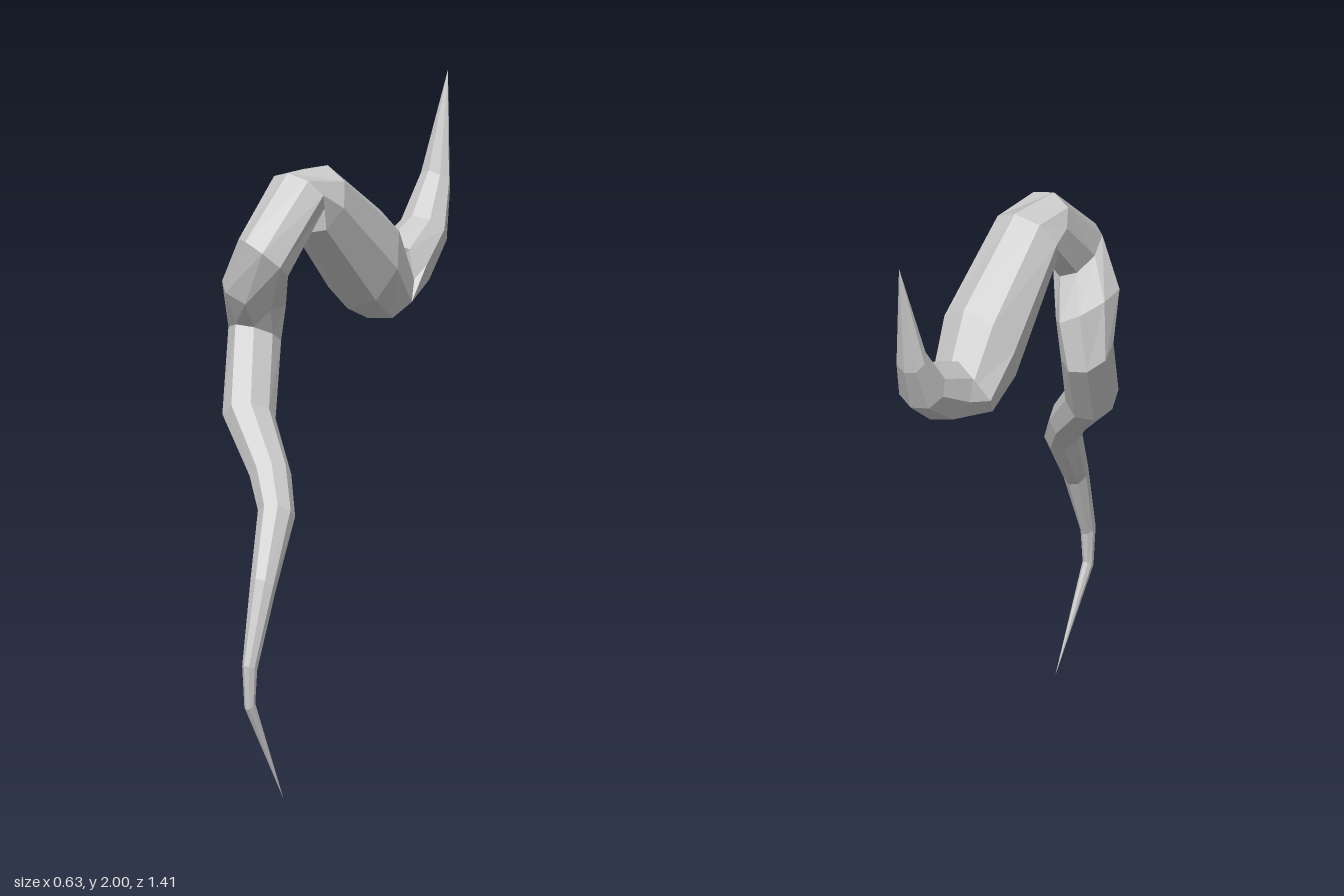
import * as THREE from 'three';

// Cross-sections from the lower tip to the upper tip:
// [centre x, half width, outer edge y, outer edge z, inner edge y, inner edge z]
const SECTIONS = [
  [0.28, 0, 0, 0.53, 0, 0.53],
  [0.295, 0.016, 0.32, 0.705, 0.34, 0.67],
  [0.292, 0.021, 0.46, 0.71, 0.44, 0.66],
  [0.26, 0.04, 0.72, 0.63, 0.65, 0.57],
  [0.188, 0.055, 0.92, 0.525, 0.85, 0.42],
  [0.105, 0.062, 1.02, 0.48, 0.945, 0.36],
  [-0.05, 0.078, 1.18, 0.44, 1.08, 0.29],
  [-0.148, 0.075, 1.4, 0.33, 1.31, 0.165],
  [-0.12, 0.09, 1.52, 0.4, 1.47, 0.155],
  [-0.03, 0.09, 1.7, 0.4, 1.57, 0.245],
  [-0.05, 0.1, 1.88, 0.2, 1.74, 0.1],
  [-0.06, 0.115, 1.87, 0.02, 1.67, 0.13],
  [-0.13, 0.13, 1.66, -0.27, 1.37, -0.13],
  [-0.165, 0.11, 1.46, -0.38, 1.31, -0.25],
  [-0.185, 0.1, 1.53, -0.35, 1.37, -0.47],
  [-0.23, 0.08, 1.58, -0.5, 1.47, -0.6],
  [-0.262, 0.055, 1.7, -0.6, 1.62, -0.66],
  [-0.285, 0, 2, -0.705, 2, -0.705],
];
const SIDES = 8;

// Skins elliptical rings along the twisting centre line
function taperedBody() {
  const centres = SECTIONS.map(([x, , yo, zo, yi, zi]) =>
    new THREE.Vector3(x, (yo + yi) / 2, (zo + zi) / 2));
  const last = SECTIONS.length - 1;
  const positions = [];
  SECTIONS.forEach(([x, width, yo, zo], i) => {
    const along = centres[Math.min(i + 1, last)].clone().sub(centres[Math.max(i - 1, 0)]);
    const outward = new THREE.Vector3(x, yo, zo).sub(centres[i]);
    const side = along.cross(outward).setLength(width || 1).multiplyScalar(width ? 1 : 0);
    for (let j = 0; j < SIDES; j++) {
      const a = (j / SIDES) * Math.PI * 2;
      const p = centres[i].clone()
        .addScaledVector(outward, Math.cos(a))
        .addScaledVector(side, Math.sin(a));
      positions.push(p.x, p.y, p.z);
    }
  });
  const index = [];
  for (let i = 0; i < last; i++) {
    for (let j = 0; j < SIDES; j++) {
      const a = i * SIDES + j;
      const b = i * SIDES + (j + 1) % SIDES;
      // The end rings close to a point, so they need one triangle per side
      if (i > 0) index.push(a, b, b + SIDES);
      if (i < last - 1) index.push(a, b + SIDES, a + SIDES);
      else continue;
    }
  }
  const geometry = new THREE.BufferGeometry();
  geometry.setAttribute('position', new THREE.Float32BufferAttribute(positions, 3));
  geometry.setIndex(index);
  geometry.computeVertexNormals();
  return geometry;
}

export function createModel() {
  const model = new THREE.Group();
  model.name = 'twistedTendril';
  const material = new THREE.MeshStandardMaterial({
    color: 0xcccccc, flatShading: true, side: THREE.DoubleSide,
  });
  const body = new THREE.Mesh(taperedBody(), material);
  body.name = 'tendrilBody';
  model.add(body);
  return model;
}
